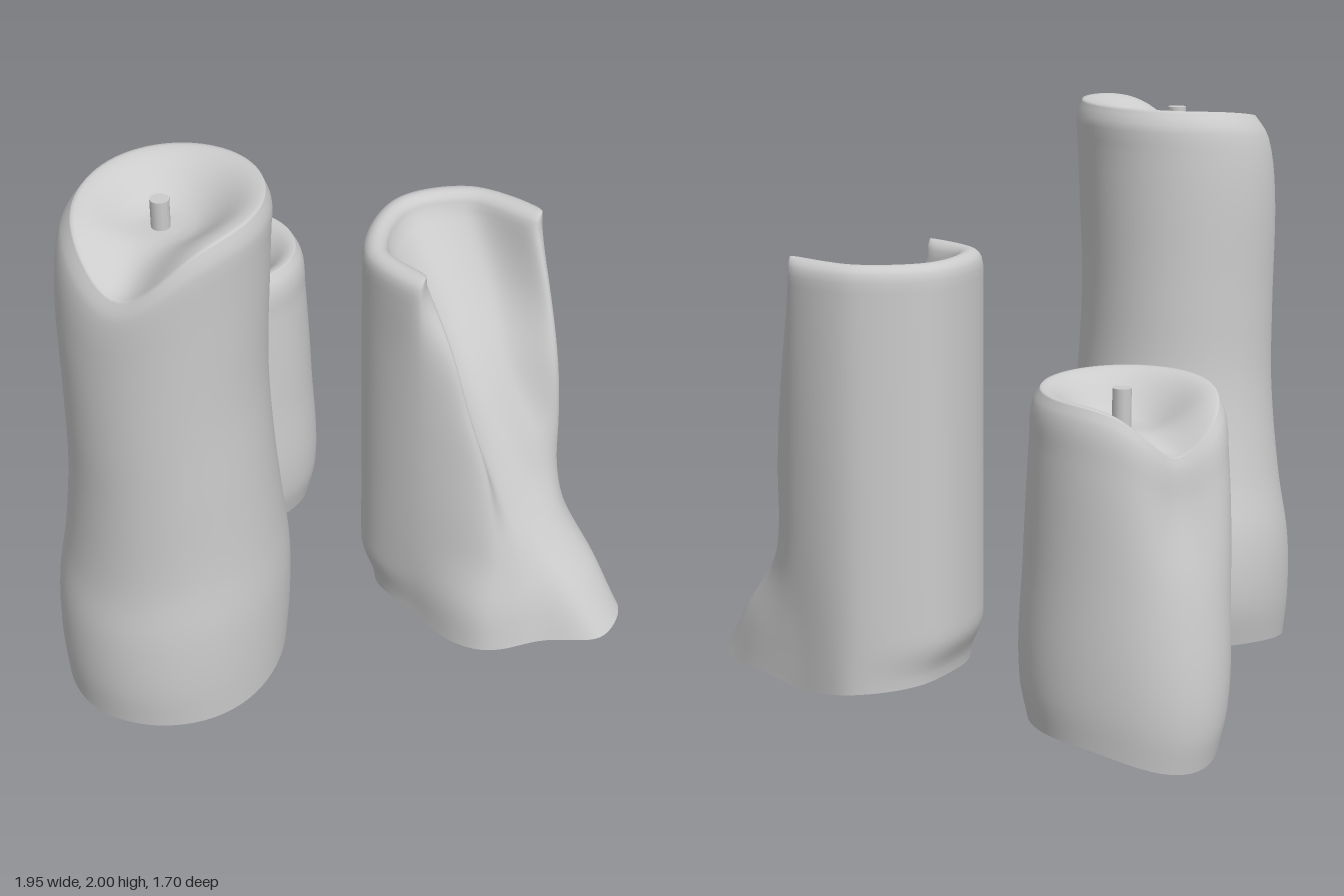
import * as THREE from 'three';
import { mergeVertices } from 'three/addons/utils/BufferGeometryUtils.js';

const wax = new THREE.MeshStandardMaterial({ color: 0xcccccc, side: THREE.DoubleSide });
const SIDES = 72;

// Skin a stack of closed rings (bottom to top, counter-clockwise from above)
function loft(name, rings) {
  const n = rings[0].length, index = [];
  for (let j = 0; j < rings.length - 1; j++) {
    for (let i = 0; i < n; i++) {
      const a = j * n + i, b = j * n + (i + 1) % n;
      index.push(a, b, b + n, a, b + n, a + n);
    }
  }
  let geo = new THREE.BufferGeometry();
  geo.setAttribute('position', new THREE.Float32BufferAttribute(rings.flat(2), 3));
  geo.setIndex(index);
  geo = mergeVertices(geo, 1e-4);
  geo.computeVertexNormals();
  const mesh = new THREE.Mesh(geo, wax);
  mesh.name = name;
  return mesh;
}

// Smooth interpolation through rows of [parameter, value, value, ...]
function track(rows) {
  const size = rows[0].length - 1;
  const spline = new THREE.CubicInterpolant(rows.map(r => r[0]), rows.flatMap(r => r.slice(1)), size);
  return t => Array.from(spline.evaluate(t));
}

// Soft bump around an angle
function bump(angle, at, width) {
  const d = Math.atan2(Math.sin(angle - at), Math.cos(angle - at));
  return Math.exp(-d * d / (2 * width * width));
}

// Round candle: wall rows are [t, xMin, xMax, zMin, zMax], then a dished top
function roundCandle({ name, rows, base, rim, swell, floor, wick }) {
  const wall = track(rows), rings = [];
  const ring = (t, s) => {
    const [x0, x1, z0, z1] = wall(t), points = [];
    for (let i = 0; i < SIDES; i++) {
      const a = i / SIDES * Math.PI * 2;
      const k = 1 + swell(a, t);
      const x = (x0 + x1) / 2 + Math.sin(a) * k * (x1 - x0) / 2;
      const z = (z0 + z1) / 2 + Math.cos(a) * k * (z1 - z0) / 2;
      const top = rim(a), low = base(a);
      if (s === 1) points.push([x, low + (top - low) * t, z]);
      else {
        const f = THREE.MathUtils.smoothstep(s, 0.25, 0.97);
        points.push([wick[0] + (x - wick[0]) * s, floor + (top - floor) * f, wick[1] + (z - wick[1]) * s]);
      }
    }
    rings.push(points);
  };
  for (let j = 0; j <= 40; j++) ring(0.96 * j / 40, 1);
  for (const t of [0.975, 0.988, 0.996, 1]) ring(t, 1);
  for (const s of [0.96, 0.9, 0.83, 0.75, 0.66, 0.56, 0.45, 0.33, 0.2, 0.1, 0]) ring(1, s);

  const group = new THREE.Group();
  group.name = name;
  group.add(loft(name + 'Wax', rings));
  const h = wick[2] - floor + 0.02;
  const stick = new THREE.Mesh(new THREE.CylinderGeometry(0.032, 0.032, h, 12), wax);
  stick.position.set(wick[0], wick[2] - h / 2, wick[1]);
  stick.name = name + 'Wick';
  group.add(stick);
  return group;
}

// Melted candle: a round back wall with a mouth that opens into a run of wax
function meltedCandle() {
  const back = [[0.24, 0.09], [0.015, -0.08], [0.045, -0.45], [0.3, -0.59], [0.56, -0.49]];
  // Mouth points per height, from the back edge to the front edge: y, x, z, x, z ...
  const mouth = track([
    [0.04, 0.83, -0.33, 0.97, -0.15, 0.93, 0.03, 0.72, 0.1, 0.5, 0.2],
    [0.2, 0.78, -0.34, 0.88, -0.17, 0.83, 0, 0.69, 0.08, 0.5, 0.19],
    [0.4, 0.7, -0.34, 0.75, -0.18, 0.7, -0.05, 0.63, 0.04, 0.53, 0.14],
    [0.55, 0.69, -0.31, 0.69, -0.19, 0.62, -0.09, 0.56, 0.02, 0.52, 0.12],
    [0.75, 0.69, -0.29, 0.62, -0.2, 0.52, -0.12, 0.47, -0.01, 0.49, 0.1],
    [1.0, 0.67, -0.29, 0.5, -0.25, 0.38, -0.16, 0.36, -0.03, 0.42, 0.09],
    [1.25, 0.62, -0.35, 0.41, -0.38, 0.25, -0.28, 0.23, -0.08, 0.35, 0.07],
    [1.47, 0.56, -0.4, 0.31, -0.49, 0.12, -0.39, 0.1, -0.12, 0.25, 0.01],
  ]);
  const rings = [];
  const ring = (y, pinch, lift) => {
    const m = mouth(y), inner = [];
    for (let i = 0; i < 5; i++) inner.push([m[2 * i], m[2 * i + 1]]);
    const outline = [...back, ...inner].reverse().map(([x, z]) => new THREE.Vector3(x, 0, z));
    const curve = new THREE.CatmullRomCurve3(outline, true, 'centripetal');
    const points = [];
    for (let i = 0; i < 120; i++) {
      // Pinching draws each point towards its partner across the wall, closing the rim
      const p = curve.getPoint(i / 120).lerp(curve.getPoint(((228 - i) % 120) / 120), pinch);
      // Uneven lower edge that tucks in on the round side
      const low = 1 - THREE.MathUtils.smoothstep(y, 0.04, 0.25);
      const tuck = low * 0.05 * Math.max(0, 1 - p.x / 0.4);
      const edge = low * (0.05 * Math.max(0, 1 - p.x / 0.6) - 0.012 + 0.008 * Math.sin(p.x * 9 + p.z * 12));
      points.push([p.x + tuck, y + lift + edge, p.z]);
    }
    rings.push(points);
  };
  for (let j = 0; j <= 44; j++) ring(0.04 + 1.43 * j / 44, 0, 0);
  for (const [pinch, lift] of [[0.05, 0.025], [0.14, 0.04], [0.27, 0.05], [0.4, 0.054], [0.5, 0.055]]) {
    ring(1.47, pinch, lift);
  }
  return loft('meltedCandle', rings);
}

export function createModel() {
  const model = new THREE.Group();
  model.name = 'candles';

  // Tall candle with a dip in the front of its rim
  model.add(roundCandle({
    name: 'tallCandle',
    rows: [
      [0, -0.95, -0.17, 0.0, 0.84],
      [0.08, -0.965, -0.16, -0.04, 0.85],
      [0.2, -0.96, -0.155, -0.03, 0.84],
      [0.32, -0.92, -0.17, 0.03, 0.81],
      [0.5, -0.88, -0.19, 0.09, 0.8],
      [0.65, -0.875, -0.2, 0.1, 0.8],
      [0.85, -0.875, -0.185, 0.1, 0.8],
      [0.93, -0.86, -0.178, 0.1, 0.8],
      [0.97, -0.84, -0.175, 0.1, 0.795],
      [1, -0.8, -0.195, 0.125, 0.775],
    ],
    base: a => 0.1 - 0.045 * Math.cos(a) + 0.02 * Math.sin(a) + 0.01 * Math.cos(3 * a),
    rim: a => 1.988 + 0.01 * Math.sin(a) - 0.2 * bump(a, -0.27, 0.46) - 0.03 * bump(a, -1.3, 0.5),
    swell: () => 0,
    floor: 1.87,
    wick: [-0.525, 0.45, 1.97],
  }));

  // Short candle with a spill running down its back corner
  const spill = -2.25;
  model.add(roundCandle({
    name: 'shortCandle',
    rows: [
      [0, -0.91, -0.3, -0.82, -0.24],
      [0.12, -0.93, -0.27, -0.83, -0.21],
      [0.5, -0.93, -0.28, -0.83, -0.2],
      [0.85, -0.93, -0.3, -0.83, -0.2],
      [0.96, -0.92, -0.31, -0.82, -0.21],
      [1, -0.9, -0.335, -0.8, -0.235],
    ],
    base: a => 0.075 - 0.075 * bump(a, spill, 0.5),
    rim: a => 1.18 + 0.01 * Math.cos(a) - 0.17 * bump(a, spill, 0.42) - 0.02 * bump(a, -1.4, 0.5),
    swell: (a, t) => 0.25 * bump(a, spill, 0.46) * (1 - THREE.MathUtils.smoothstep(t, 0.1, 1))
      + 0.07 * bump(a, spill + 0.5, 0.25) * bump(t, 0.65, 0.25)
      - 0.15 * bump(a, spill, 0.26) * bump(t, 0.88, 0.17),
    floor: 1.04,
    wick: [-0.59, -0.5, 1.17],
  }));

  model.add(meltedCandle());
  return model;
}
